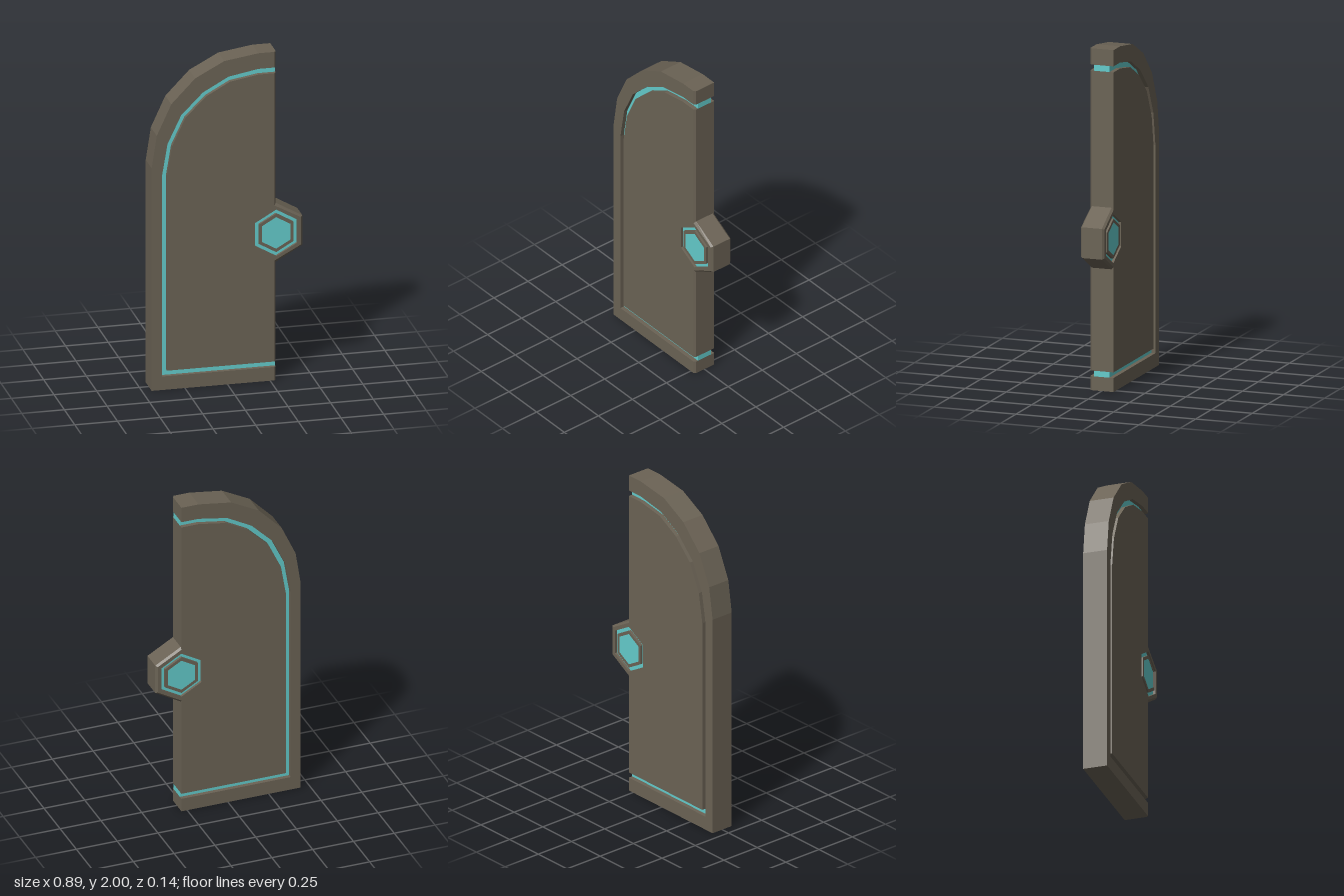
import * as THREE from 'three';

const EDGE = 0.285;              // x of the straight meeting edge
const HALF = 0.072;              // half thickness of the door
const BEVEL = 0.012;
const HUB = { x: EDGE, y: 0.897 };

const stone = new THREE.MeshStandardMaterial({ color: 0x6b6355 });
stone.name = 'stone';
const glow = new THREE.MeshStandardMaterial({ color: 0x64cccc });
glow.name = 'glow';

// Left-hand outlines, from the top of the meeting edge down to the bottom corner
const outer = [[EDGE, 2], [0.18, 2], [-0.02, 1.97], [-0.19, 1.88], [-0.33, 1.735], [-0.415, 1.55], [-0.445, 1.355], [-0.445, 0]];
const grooveOuter = [[EDGE, 1.905], [0.18, 1.905], [0.005, 1.873], [-0.145, 1.79], [-0.272, 1.663], [-0.352, 1.495], [-0.385, 1.3], [-0.385, 0.082]];
const grooveInner = [[EDGE, 1.87], [0.18, 1.87], [0.015, 1.842], [-0.125, 1.765], [-0.247, 1.645], [-0.325, 1.48], [-0.355, 1.3], [-0.355, 0.115]];

const toPoints = (list) => list.map(([x, y]) => new THREE.Vector2(x, y));
const closeAtEdge = (list) => [...list, [EDGE, list[list.length - 1][1]]];

// Pointy-top hexagon around the hub
function hexagon(radius) {
  const points = [];
  for (let i = 0; i < 6; i++) {
    const a = Math.PI / 2 - i * Math.PI / 3;
    points.push([HUB.x + radius * Math.cos(a), HUB.y + radius * Math.sin(a)]);
  }
  return points;
}

// Band between two open outlines
const band = (a, b) => new THREE.Shape(toPoints([...closeAtEdge(a), ...closeAtEdge(b).reverse()]));

// Slab centred on z = 0, with bevels along the meeting edge and the hub
function slab(name, shape, half, material, bevel = false) {
  const geometry = new THREE.ExtrudeGeometry(shape, { depth: 3, steps: 3, bevelEnabled: false });
  const layers = [-half, -half + BEVEL, half - BEVEL, half];
  const p = geometry.attributes.position;
  for (let i = 0; i < p.count; i++) {
    const layer = Math.round(p.getZ(i));
    const x = p.getX(i), y = p.getY(i);
    p.setZ(i, layers[layer]);
    if (!bevel || x < EDGE - 0.001) continue;
    const reach = Math.hypot(x - HUB.x, y - HUB.y);
    if (reach < 0.15) continue;
    const onHub = reach < 0.19;
    if (onHub && (layer === 0 || layer === 3)) {
      p.setX(i, HUB.x + (x - HUB.x) * 0.93);
      p.setY(i, HUB.y + (y - HUB.y) * 0.93);
    }
    if (layer === 3 && x < EDGE + 0.001) p.setX(i, EDGE - 0.01);
  }
  geometry.computeVertexNormals();
  const mesh = new THREE.Mesh(geometry, material);
  mesh.name = name;
  return mesh;
}

export function createModel() {
  const door = new THREE.Group();
  door.name = 'archedDoorLeaf';

  // Outer arched border
  door.add(slab('frame', band(outer, grooveOuter), HALF, stone, true));

  // Sunken glowing strip between border and panel
  door.add(slab('glowStrip', band(grooveOuter, grooveInner), 0.047, glow));

  // Panel with the half-hexagon bulge and a hexagonal opening
  const [top, upper, lower, bottom] = hexagon(0.18);
  const panel = new THREE.Shape(toPoints([...closeAtEdge(grooveInner), bottom, lower, upper, top]));
  panel.holes.push(new THREE.Path(toPoints(hexagon(0.142))));
  door.add(slab('panel', panel, HALF, stone, true));

  // Hexagonal lock: sunken glowing core and raised ring
  const lock = new THREE.Group();
  lock.name = 'lock';
  lock.add(slab('lockCore', new THREE.Shape(toPoints(hexagon(0.142))), 0.056, glow));
  const ring = new THREE.Shape(toPoints(hexagon(0.117)));
  ring.holes.push(new THREE.Path(toPoints(hexagon(0.096))));
  lock.add(slab('lockRing', ring, HALF, stone));
  door.add(lock);

  return door;
}
